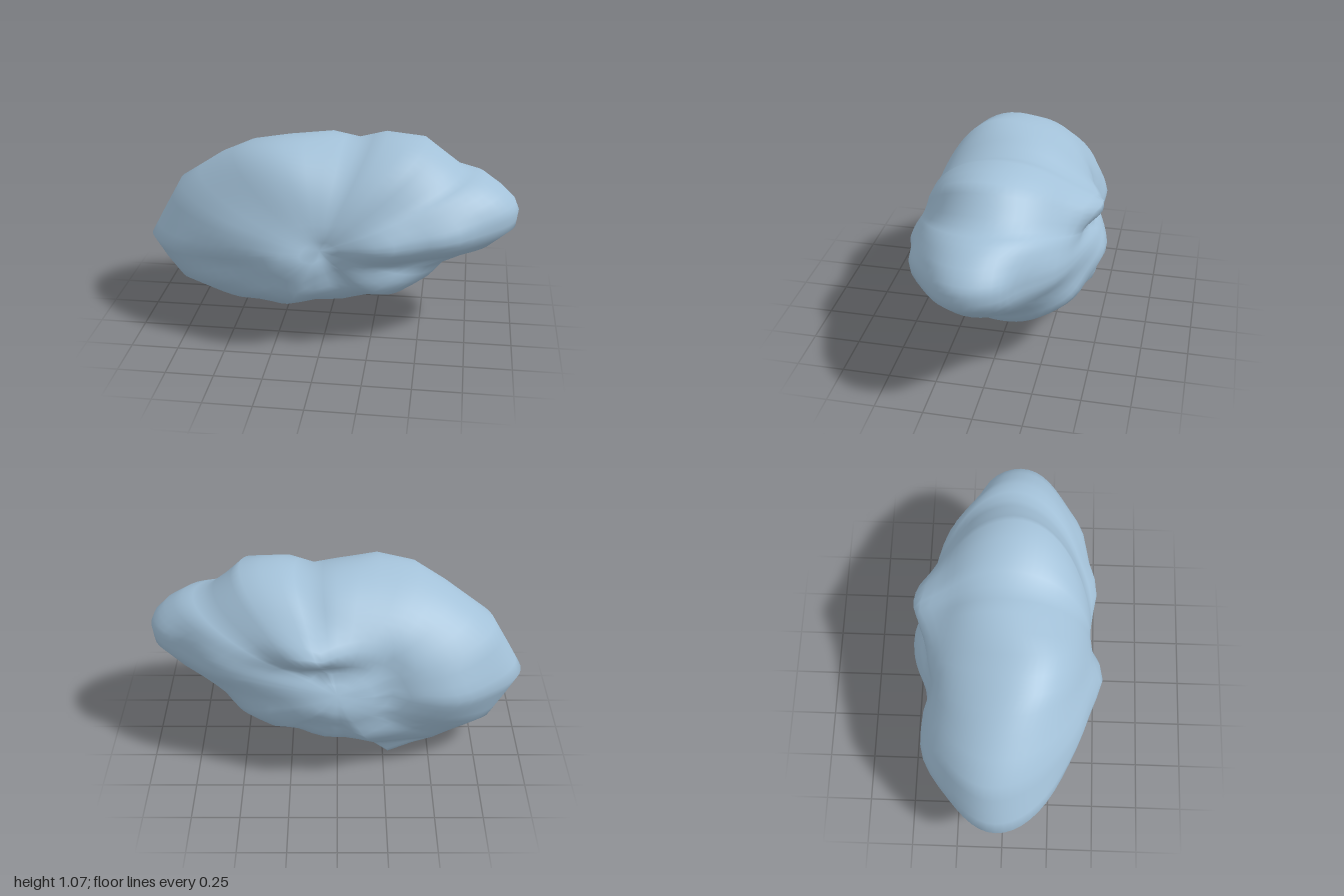
import * as THREE from 'three';

// Outline in the x-y plane, counter-clockwise: x, y, depth z of the rim there
const OUTLINE = [
  [1, 0.7, 0.04], [0.98, 0.75, 0.04], [0.92, 0.81, 0.04], [0.82, 0.875, 0.02], [0.7, 0.9, 0], [0.6, 0.975, 0],
  [0.51, 1.05, 0.02], [0.3, 1.065, 0], [0.15, 1.02, -0.02], [0, 1.05, -0.02], [-0.23, 1.05, 0.08],
  [-0.43, 1.01, 0.06], [-0.6, 0.92, 0], [-0.83, 0.76, -0.05], [-0.93, 0.58, -0.04], [-1, 0.45, -0.03],
  [-0.93, 0.33, -0.04], [-0.85, 0.21, -0.06], [-0.65, 0.12, -0.08], [-0.55, 0.07, -0.1], [-0.29, 0, -0.15],
  [-0.06, 0.11, -0.08], [0.1, 0.13, -0.06], [0.28, 0.19, -0.04], [0.43, 0.2, -0.06], [0.57, 0.3, -0.06],
  [0.65, 0.4, -0.04], [0.88, 0.52, 0.02], [0.99, 0.62, 0.04],
];
const CENTER = [0, 0.58];

// Lumps and hollows on each face: x, y, width, height, amount
const FRONT = [
  [-0.16, 0.49, 0.17, 0.15, 0.08], [0.34, 0.6, 0.15, 0.1, 0.055], [0.65, 0.63, 0.16, 0.1, 0.05],
  [-0.45, 0.6, 0.2, 0.13, 0.03], [0.36, 0.33, 0.2, 0.09, 0.06], [0.55, 0.48, 0.25, 0.04, -0.035],
  [0.07, 0.44, 0.06, 0.12, -0.03], [0, 0.58, 0.06, 0.06, -0.03], [-0.55, 0.42, 0.2, 0.06, -0.02],
  [-0.15, 0.31, 0.22, 0.08, 0.06], [-0.3, 0.08, 0.2, 0.08, -0.14],
];
const BACK = [
  [0.14, 0.8, 0.18, 0.085, 0.105], [0.05, 0.46, 0.24, 0.13, 0.08], [-0.62, 0.5, 0.22, 0.2, 0.075],
  [0.05, 0.68, 0.25, 0.05, -0.04], [-0.27, 0.56, 0.07, 0.18, -0.04], [0.45, 0.38, 0.18, 0.12, 0.06],
  [0.82, 0.66, 0.12, 0.15, -0.07], [0.7, 0.5, 0.2, 0.05, -0.03], [0.05, 0.28, 0.28, 0.08, 0.08],
  [-0.28, 0.08, 0.25, 0.06, -0.1],
];

function relief(list, x, y) {
  return list.reduce((sum, [cx, cy, w, h, k]) =>
    sum + k * Math.exp(-(((x - cx) / w) ** 2) - ((y - cy) / h) ** 2), 0);
}

// One surface wrapped from the front pole over the rim to the back pole
function boulderGeometry() {
  const rim = [];
  OUTLINE.forEach((p, i) => {
    const q = OUTLINE[(i + 1) % OUTLINE.length];
    for (const t of [0, 0.5]) rim.push(p.map((v, k) => v + (q[k] - v) * t));
  });
  const rings = 32, n = rim.length;
  const positions = [], indices = [];

  const addPoint = (p, phi) => {
    const s = Math.sin(phi), c = Math.cos(phi);
    const x = CENTER[0] + (p[0] - CENTER[0]) * s;
    const y = CENTER[1] + (p[1] - CENTER[1]) * s;
    const bumps = relief(c > 0 ? FRONT : BACK, x, y) * (1 - s ** 8);
    const z = p[2] * s ** 4 + (c > 0 ? 0.445 * c + bumps : 0.45 * c - bumps);
    positions.push(x, y, z);
  };

  addPoint(rim[0], 0);
  for (let j = 1; j < rings; j++) for (const p of rim) addPoint(p, (j / rings) * Math.PI);
  addPoint(rim[0], Math.PI);

  const last = 1 + (rings - 1) * n;
  for (let i = 0; i < n; i++) {
    const k = (i + 1) % n;
    indices.push(0, 1 + i, 1 + k);
    for (let j = 0; j < rings - 2; j++) {
      const a = 1 + j * n, b = a + n;
      indices.push(a + i, b + i, b + k, a + i, b + k, a + k);
    }
    indices.push(last - n + i, last, last - n + k);
  }

  const geometry = new THREE.BufferGeometry();
  geometry.setAttribute('position', new THREE.Float32BufferAttribute(positions, 3));
  geometry.setIndex(indices);
  geometry.computeVertexNormals();
  return geometry;
}

export function createModel() {
  const stone = new THREE.MeshStandardMaterial({ color: 0xa3c1d8 });
  stone.name = 'pale blue stone';
  const boulder = new THREE.Mesh(boulderGeometry(), stone);
  boulder.name = 'boulder';
  const group = new THREE.Group();
  group.name = 'lumpyBoulder';
  group.add(boulder);
  return group;
}
